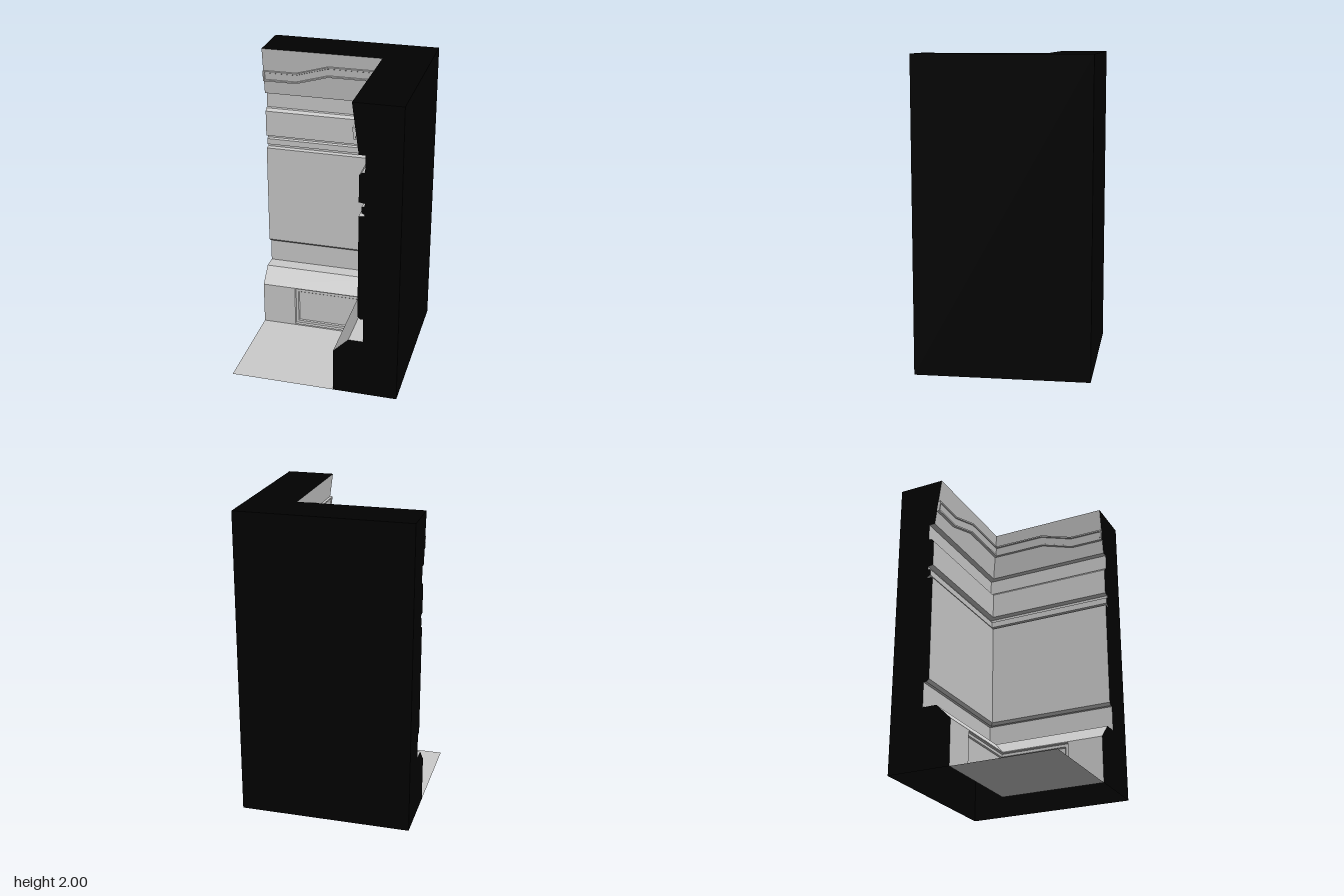
import * as THREE from 'three';

const E = 0.555;     // half footprint
const BASE = 0.135;  // inner face of the plinth
const H = 2;

const grey = new THREE.MeshStandardMaterial({ color: 0xcccccc, flatShading: true, side: THREE.DoubleSide });
const black = new THREE.MeshStandardMaterial({ color: 0x010101, flatShading: true, side: THREE.DoubleSide });

// Leaning face of the cornice: distance from centre at height y
const lean = (y) => 0.29 - 0.134 * (y - 1.68);

// Wall profile [distance from centre, height] above the plinth
const lowerProfile = [
  [BASE, 0.3], [0.235, 0.4], [0.33, 0.4], [0.33, 0.565], [0.31, 0.565], [0.293, 0.582],
  [0.293, 1.283], [0.33, 1.285], [0.33, 1.297], [0.31, 1.305], [0.31, 1.345], [0.33, 1.35],
  [0.33, 1.37], [0.293, 1.375], [0.293, 1.55], [0.31, 1.568], [0.33, 1.57], [0.33, 1.68],
];
const profile = [...lowerProfile, [lean(1.68), 1.68], [lean(H), H]];

// Build a mesh from quads given as four [x, y, z] corners, counter-clockwise
function quadMesh(name, quads, material = grey) {
  const pos = [];
  for (const [a, b, c, d] of quads) pos.push(...a, ...b, ...c, ...a, ...c, ...d);
  const geo = new THREE.BufferGeometry();
  geo.setAttribute('position', new THREE.Float32BufferAttribute(pos, 3));
  geo.computeVertexNormals();
  const mesh = new THREE.Mesh(geo, material);
  mesh.name = name;
  return mesh;
}

// Add the same quads for the side wall, reflected across the corner diagonal
function bothWalls(quads) {
  const flip = ([x, y, z]) => [-z, y, -x];
  return [...quads, ...quads.map((q) => q.map(flip).reverse())];
}

// Join concentric outlines into a relief, then fill the innermost one
function relief(rings) {
  const quads = [];
  for (let k = 0; k + 1 < rings.length; k++) {
    const o = rings[k], r = rings[k + 1];
    for (let i = 0; i + 1 < o.length; i++) quads.push([o[i], o[i + 1], r[i + 1], r[i]]);
  }
  const last = rings[rings.length - 1], m = last.length;
  for (let i = 0; i + 1 < m / 2; i++) quads.push([last[i], last[i + 1], last[m - 2 - i], last[m - 1 - i]]);
  return quads;
}

// Plinth panel outline: left edge, bottom, top, depth into the wall
function panelRing([left, bottom, top, depth]) {
  const p = BASE + depth;
  return [[p, top, -p], [left, top, -p], [left, bottom, -p], [p, bottom, -p]];
}

// Stepped cornice band outline, inset by k and raised from the leaning face
function bandRing([k, raise]) {
  const top = [[null, 1.91], [-0.11, 1.91], [-0.33, 1.845], [-E, 1.845]];
  const bottom = top.map(([x, y]) => [x, y - 0.072]).reverse();
  const place = (dy) => ([x, y]) => {
    const h = y + dy, p = lean(h) - raise;
    return [x === null ? p : x === -E ? x + k : x, h, -p];
  };
  return [...top.map(place(-k)), ...bottom.map(place(k))];
}

export function createModel() {
  const group = new THREE.Group();

  // Mouldings mitred around the inner corner
  const moulding = [];
  for (let i = 0; i + 1 < profile.length; i++) {
    const [p, y] = profile[i], [q, v] = profile[i + 1];
    moulding.push([[-E, y, -p], [p, y, -p], [q, v, -q], [-E, v, -q]]);
  }
  group.add(quadMesh('wallMoulding', bothWalls(moulding)));

  // Plinth with a recessed panel wrapping the corner
  const plinth = relief([
    [-E, 0, 0.3, 0], [-0.325, 0.01, 0.295, 0], [-0.32, 0.015, 0.29, 0.012],
    [-0.303, 0.033, 0.272, 0.012], [-0.297, 0.039, 0.266, 0.02],
  ].map(panelRing));
  group.add(quadMesh('plinthPanel', bothWalls(plinth)));

  // Raised band with a shallow inset face
  const band = relief([[0, 0], [0, 0.018], [0.01, 0.018], [0.013, 0.012]].map(bandRing));
  group.add(quadMesh('corniceBand', bothWalls(band)));

  // Floor
  group.add(quadMesh('floor', [[[-E, 0, E], [BASE, 0, E], [BASE, 0, -BASE], [-E, 0, -BASE]]]));

  // Outer faces
  group.add(quadMesh('outerWalls', bothWalls([[[E, 0, -E], [-E, 0, -E], [-E, H, -E], [E, H, -E]]]), black));

  // L-shaped top
  const t = lean(H);
  group.add(quadMesh('topCap', bothWalls([[[-E, H, -t], [t, H, -t], [E, H, -E], [-E, H, -E]]]), black));

  // End caps follow the wall profile and the end of the band
  const outline = [
    [BASE, 0], ...lowerProfile, [lean(1.68), 1.68], [lean(1.773), 1.773], [lean(1.773) - 0.018, 1.773],
    [lean(1.845) - 0.018, 1.845], [lean(1.845), 1.845], [t, H], [E, H], [E, 0],
  ];
  const capGeo = new THREE.ShapeGeometry(new THREE.Shape(outline.map(([x, y]) => new THREE.Vector2(x, y))));
  const frontCap = new THREE.Mesh(capGeo, black);
  frontCap.name = 'frontEndCap';
  frontCap.position.z = E;
  const sideCap = new THREE.Mesh(capGeo, black);
  sideCap.name = 'sideEndCap';
  sideCap.rotation.y = Math.PI / 2;
  sideCap.position.x = -E;
  group.add(frontCap, sideCap);

  return group;
}
